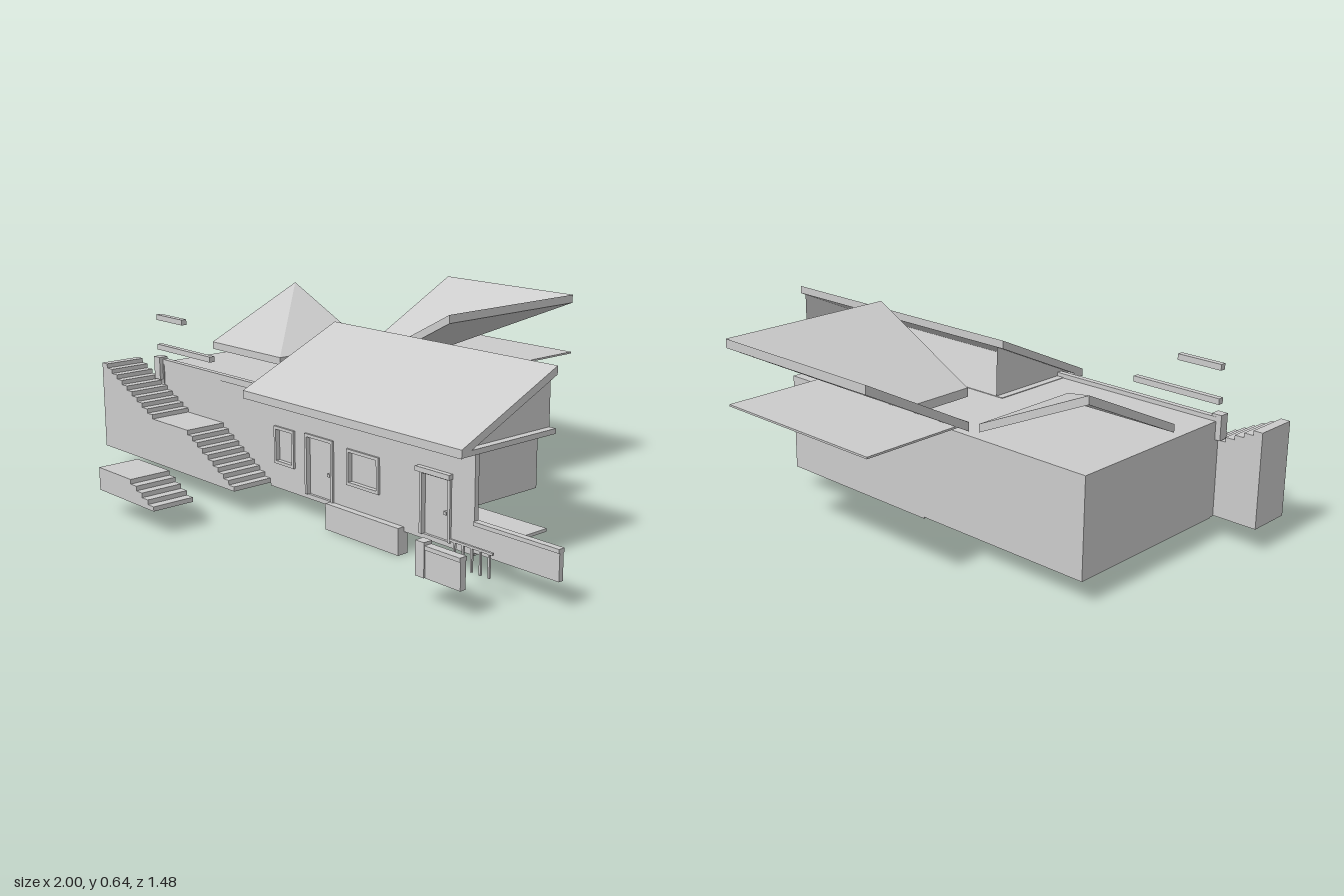
import * as THREE from 'three';

const mat = new THREE.MeshStandardMaterial({ color: 0xcccccc, flatShading: true, side: THREE.DoubleSide });

export function createModel() {
  const model = new THREE.Group();

  const add = (name, geometry) => {
    const mesh = new THREE.Mesh(geometry, mat);
    mesh.name = name;
    model.add(mesh);
    return mesh;
  };

  // Box given by its extents
  const box = (name, x0, x1, y0, y1, z0, z1) => {
    const g = new THREE.BoxGeometry(x1 - x0, y1 - y0, z1 - z0);
    g.translate((x0 + x1) / 2, (y0 + y1) / 2, (z0 + z1) / 2);
    return add(name, g);
  };

  // Flat polygons, each a convex loop of corners
  const faces = (name, polys) => {
    const p = [];
    for (const c of polys) {
      for (let i = 1; i < c.length - 1; i++) p.push(...c[0], ...c[i], ...c[i + 1]);
    }
    const g = new THREE.BufferGeometry();
    g.setAttribute('position', new THREE.Float32BufferAttribute(p, 3));
    g.computeVertexNormals();
    return add(name, g);
  };

  // Sloping slab: top polygon, copied down by t and closed round the edge
  const slab = (name, top, t) => {
    const low = top.map(([x, y, z]) => [x, y - t, z]);
    const sides = top.map((a, i) => {
      const j = (i + 1) % top.length;
      return [a, low[i], low[j], top[j]];
    });
    return faces(name, [top, [...low].reverse(), ...sides]);
  };

  // Stairs descending to +x, hollow underneath
  const stairs = (name, start, runs, z0, z1) => {
    const pts = [[start[0], 0.08], start];
    let [x, y] = start;
    for (const [x1, y1, n] of runs) {
      const dx = (x1 - x) / n, dy = (y1 - y) / n;
      for (let i = 0; i < n; i++) {
        x += dx;
        pts.push([x, y]);
        y += dy;
        pts.push([x, y]);
      }
    }
    const strip = [];
    for (let i = 0; i < pts.length - 1; i++) {
      const [a, b] = [pts[i], pts[i + 1]];
      if (a[0] === b[0] && a[1] === b[1]) continue;
      strip.push([[...a, z1], [...b, z1], [...b, z0], [...a, z0]]);
    }
    faces(name + 'Treads', strip);
    for (const z of [z0, z1]) {
      const shape = new THREE.Shape(pts.map((q) => new THREE.Vector2(q[0], q[1])));
      add(name + 'SideWall', new THREE.ShapeGeometry(shape).translate(0, 0, z));
    }
  };

  // Stairs
  stairs('mainStairs', [-1, 0.385], [[-0.69, 0.235, 10], [-0.51, 0.235, 1], [-0.23, 0.08, 10]], 0.282, 0.43);
  for (const x of [-0.69, -0.51]) {
    faces('stairPartition', [[[x, 0.08, 0.282], [x, 0.235, 0.282], [x, 0.235, 0.43], [x, 0.08, 0.43]]]);
  }
  stairs('smallStairs', [-0.54, 0.155], [[-0.355, 0.14, 1], [-0.23, 0.08, 4]], 0.59, 0.735);

  // Front wall with openings
  const openings = [
    ['window', -0.2, -0.1, 0.155, 0.28],
    ['door', -0.045, 0.09, 0.085, 0.285],
    ['window', 0.155, 0.3, 0.16, 0.275],
    ['door', 0.475, 0.6, 0.085, 0.28],
  ];
  const rect = (C, x0, x1, y0, y1) => {
    const s = new C();
    s.moveTo(x0, y0).lineTo(x1, y0).lineTo(x1, y1).lineTo(x0, y1).closePath();
    return s;
  };
  const wall = rect(THREE.Shape, -0.85, 0.69, 0.078, 0.39);
  for (const [, ...r] of openings) wall.holes.push(rect(THREE.Path, ...r));
  add('frontWall', new THREE.ExtrudeGeometry(wall, { depth: 0.016, bevelEnabled: false }).translate(0, 0, 0.265));

  // Frames, panes, door leaves and handles
  for (const [kind, x0, x1, y0, y1] of openings) {
    const w = 0.01, z0 = 0.268, z1 = 0.288;
    box(kind + 'Panel', x0, x1, y0, y1, 0.267, 0.272);
    box(kind + 'Jamb', x0, x0 + w, y0, y1, z0, z1);
    box(kind + 'Jamb', x1 - w, x1, y0, y1, z0, z1);
    box(kind + 'Head', x0, x1, y1 - w, y1, z0, z1);
    if (kind === 'window') box('windowSill', x0, x1, y0, y0 + w, z0, z1);
    else box('doorHandle', x1 - 0.03, x1 - 0.02, 0.163, 0.173, 0.27, 0.283);
  }
  box('doorLintel', 0.467, 0.605, 0.275, 0.29, 0.268, 0.298);

  // Left block, open below
  const y0 = 0.075, y1 = 0.388;
  box('leftBlockBackWall', -0.85, -0.235, y0, y1, -0.34, -0.33);
  box('leftBlockSideWall', -0.85, -0.84, y0, y1, -0.33, 0.265);
  box('leftBlockTop', -0.85, -0.235, 0.378, y1, -0.34, 0.265);
  box('partyWall', -0.24, -0.23, y0, y1, -0.34, 0.265);
  box('parapet', -0.85, -0.23, 0.38, 0.402, 0.264, 0.284);
  box('cornerPost', -0.85, -0.83, 0.08, 0.39, 0.265, 0.285);
  box('cornerPostCap', -0.868, -0.834, 0.33, 0.41, 0.265, 0.298);

  // Middle block and open right bay
  box('middleBackWall', -0.23, 0.38, y0, y1, -0.34, -0.33);
  box('middleSideWall', 0.37, 0.38, y0, y1, -0.33, 0.265);
  box('middleTop', -0.23, 0.38, 0.378, y1, -0.34, 0.265);
  box('floor', -0.23, 0.38, 0.07, 0.08, -0.34, 0.28);
  box('rightBayFloor', 0.38, 0.69, 0.07, 0.08, -0.03, 0.28);

  // Front roof: one slope, gable ends, flat base, open at the back
  slab('frontRoofSlope', [[-0.26, 0.398, 0.362], [0.715, 0.398, 0.362], [0.715, 0.575, -0.028], [-0.26, 0.575, -0.028]], 0.026);
  box('frontRoofBase', -0.26, 0.715, 0.374, 0.39, -0.028, 0.362);
  for (const x of [-0.235, 0.69]) {
    faces('gableEnd', [[[x, 0.385, 0.34], [x, 0.385, -0.028], [x, 0.555, -0.028]]]);
  }

  // Left hip roof: two slopes meeting on the diagonal
  const apex = [-0.85, 0.613, -0.337], hip = [-0.455, 0.433, 0.055];
  slab('hipRoofFrontSlope', [apex, [-0.85, 0.433, 0.055], hip], 0.026);
  slab('hipRoofRightSlope', [apex, hip, [-0.455, 0.433, -0.337]], 0.026);

  // Rear roof: two wings meeting in a valley, with an L-shaped base
  const valleyTop = [0.175, 0.64, -0.745], valleyLow = [-0.215, 0.437, -0.355];
  slab('rearRoofLeftWing', [[-0.433, 0.64, -0.745], valleyTop, valleyLow, [-0.433, 0.437, -0.355]], 0.028);
  slab('rearRoofFrontWing', [valleyTop, [0.175, 0.64, -0.135], [-0.215, 0.437, -0.135], valleyLow], 0.028);
  box('rearRoofBase', -0.433, 0.175, 0.432, 0.438, -0.745, -0.355);
  box('rearRoofBase', -0.215, 0.175, 0.432, 0.438, -0.355, -0.135);

  // Front step panel, hollow behind
  box('stepFront', 0.075, 0.405, 0, 0.085, 0.297, 0.305);
  box('stepTop', 0.075, 0.405, 0.077, 0.085, 0.265, 0.297);
  for (const x of [0.075, 0.397]) box('stepEnd', x, x + 0.008, 0, 0.08, 0.265, 0.297);

  // Garden walls and baluster rail on the right
  box('gardenWall', 0.69, 1, 0.08, 0.16, 0.267, 0.283);
  box('gardenWallCap', 0.69, 1, 0.16, 0.172, 0.264, 0.286);
  box('frontGardenWall', 0.74, 0.87, 0.08, 0.162, 0.502, 0.522);
  box('frontGardenWallCap', 0.74, 0.87, 0.16, 0.172, 0.499, 0.525);
  box('gardenPost', 0.705, 0.738, 0.08, 0.18, 0.495, 0.525);
  box('balusterRail', 0.71, 0.87, 0.148, 0.155, 0.395, 0.402);
  for (let i = 0; i < 5; i++) {
    const x = 0.725 + i * 0.032;
    box('baluster', x, x + 0.006, 0.08, 0.15, 0.395, 0.401);
  }

  // Terrace rails
  box('upperTerraceRail', -0.85, -0.695, 0.543, 0.562, 0.274, 0.294);
  box('lowerTerraceRail', -0.85, -0.535, 0.437, 0.456, 0.274, 0.294);

  return model;
}
